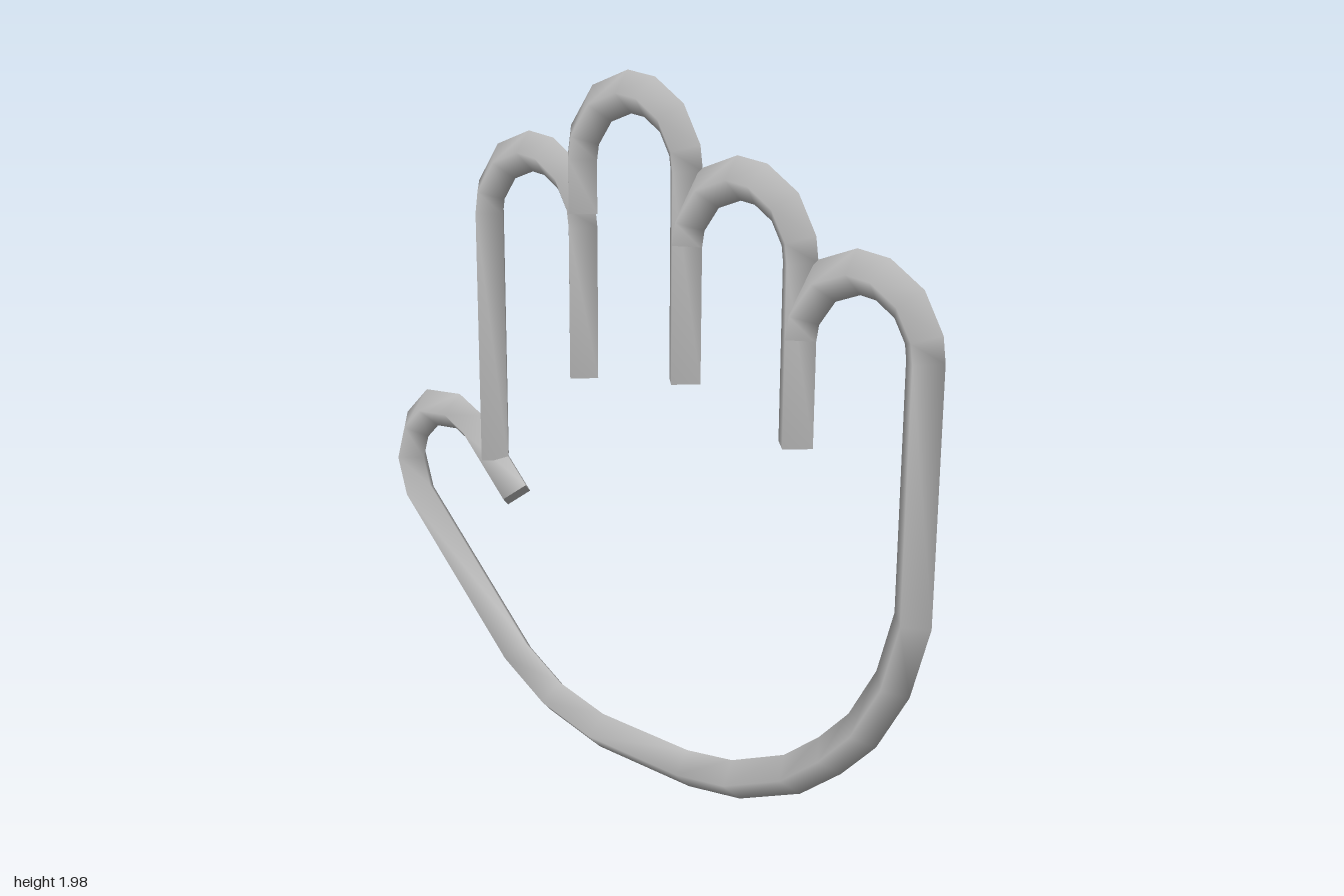
import * as THREE from 'three';

const R = 0.055; // half width of the four-sided bar

// Sweeps a diamond section along a flat path with mitred corners and capped ends
function bar(points) {
  const pts = points.map(([x, y]) => new THREE.Vector2(x, y));
  const last = pts.length - 1;
  const pos = [], index = [];
  const dir = (i) => pts[i + 1].clone().sub(pts[i]).normalize();
  pts.forEach((p, i) => {
    const before = dir(Math.max(i - 1, 0));
    const after = dir(Math.min(i, last - 1));
    const t = before.clone().add(after).normalize();
    const w = R / t.dot(after);
    const nx = -t.y * w, ny = t.x * w;
    pos.push(p.x + nx, p.y + ny, 0, p.x, p.y, R, p.x - nx, p.y - ny, 0, p.x, p.y, -R);
  });
  for (let i = 0; i < last; i++) {
    for (let j = 0; j < 4; j++) {
      const a = i * 4 + j, b = i * 4 + (j + 1) % 4;
      index.push(a, b, a + 4, b, b + 4, a + 4);
    }
  }
  // caps have their own corners so their edges stay sharp
  const first = pos.slice(0, 12), end = pos.slice(-12), n = pos.length / 3;
  pos.push(...first, ...end);
  index.push(n, n + 2, n + 1, n, n + 3, n + 2);
  index.push(n + 4, n + 5, n + 6, n + 4, n + 6, n + 7);
  const geo = new THREE.BufferGeometry();
  geo.setAttribute('position', new THREE.Float32BufferAttribute(pos, 3));
  geo.setIndex(index);
  geo.computeVertexNormals();
  return geo;
}

// Rounded fingertip running from left to right
function arch(cx, cy, r = 0.187) {
  return [180, 161, 127, 94, 72, 44, 16, 0].map((deg) => {
    const a = THREE.MathUtils.degToRad(deg);
    return [cx + r * Math.cos(a), cy + r * Math.sin(a)];
  });
}

export function createModel() {
  const group = new THREE.Group();
  const grey = new THREE.MeshStandardMaterial({ color: 0xc0c0c0 });
  grey.name = 'grey';

  const add = (name, points) => {
    const mesh = new THREE.Mesh(bar(points), grey);
    mesh.name = name;
    group.add(mesh);
  };

  // fingers: outer leg, rounded tip, inner leg
  add('indexFinger', [[-0.558, 0.82], ...arch(-0.371, 1.56), [-0.184, 1.14]]);
  add('middleFinger', [[-0.184, 1.6], ...arch(0.003, 1.748), [0.19, 1.19]]);
  add('ringFinger', [...arch(0.377, 1.56), [0.564, 1.09]]);

  // little finger, palm edge and thumb in one continuous bar
  add('littleFingerPalmAndThumb', [
    ...arch(0.752, 1.372, 0.188),
    [0.94, 0.715], [0.89, 0.53], [0.803, 0.374], [0.705, 0.27], [0.583, 0.172],
    [0.39, 0.088], [0.216, 0.061], [-0.124, 0.066], [-0.318, 0.115], [-0.476, 0.208],
    [-0.91, 0.634], [-0.945, 0.748], [-0.91, 0.852], [-0.838, 0.92], [-0.72, 0.93],
    [-0.64, 0.892], [-0.468, 0.72],
  ]);

  return group;
}
